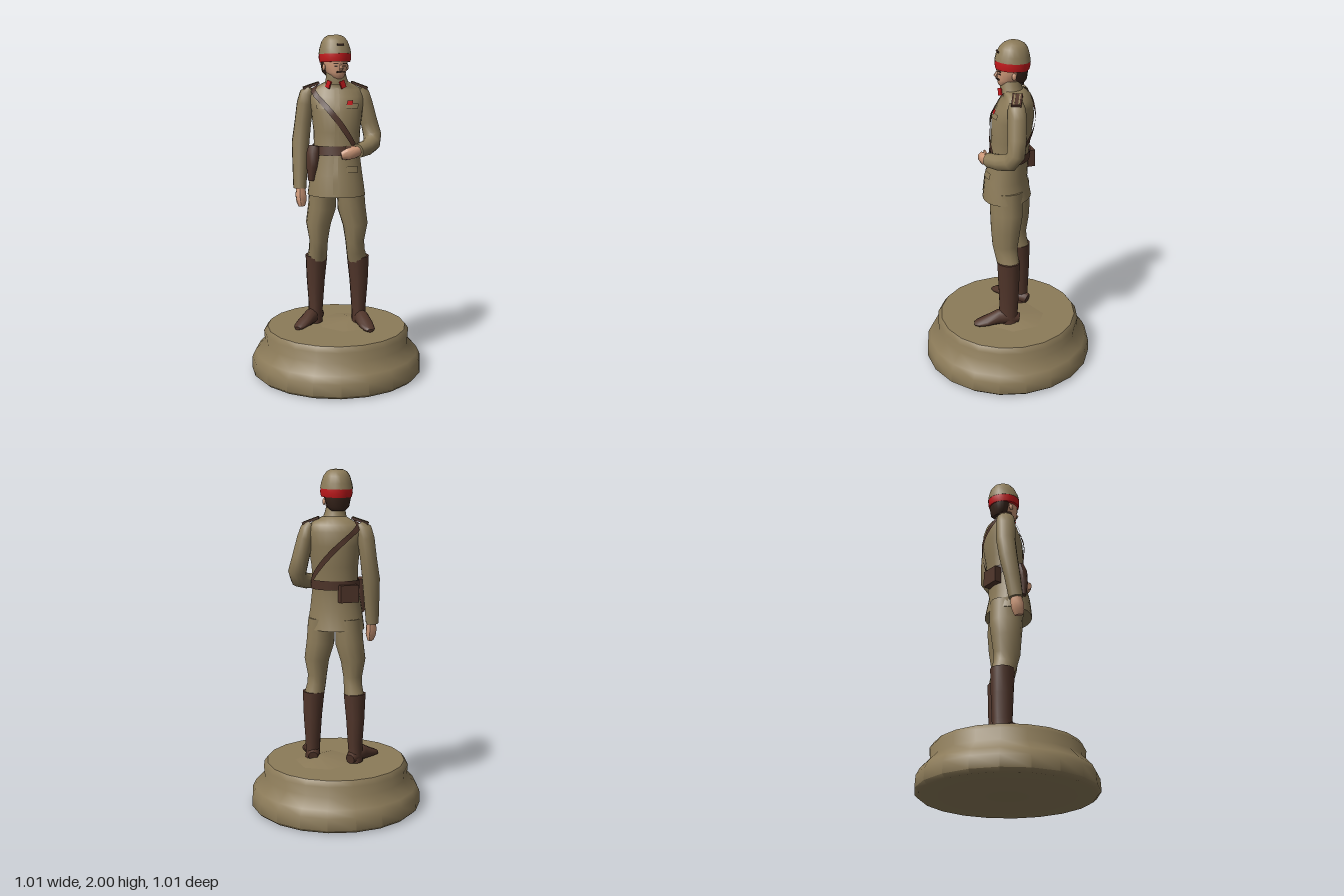
import * as THREE from 'three';
import { toCreasedNormals } from 'three/addons/utils/BufferGeometryUtils.js';

const material = (name, color, side = THREE.FrontSide) => {
  const m = new THREE.MeshStandardMaterial({ color, side });
  m.name = name;
  return m;
};

// Skin over closed rings of points, capped at both ends
function loft(rings, crease = 0.9) {
  const n = rings[0].length, pos = [], idx = [];
  rings.forEach(r => r.forEach(p => pos.push(p.x, p.y, p.z)));
  for (let i = 0; i < rings.length - 1; i++) {
    for (let j = 0; j < n; j++) {
      const a = i * n + j, b = i * n + (j + 1) % n;
      idx.push(a, b, a + n, b, b + n, a + n);
    }
  }
  [0, rings.length - 1].forEach((r, end) => {
    const c = rings[r].reduce((s, p) => s.add(p), new THREE.Vector3()).divideScalar(n);
    const k = pos.length / 3;
    pos.push(c.x, c.y, c.z);
    for (let j = 0; j < n; j++) {
      const a = r * n + j, b = r * n + (j + 1) % n;
      if (end) idx.push(k, a, b); else idx.push(k, b, a);
    }
  });
  const g = new THREE.BufferGeometry();
  g.setAttribute('position', new THREE.Float32BufferAttribute(pos, 3));
  g.setIndex(idx);
  return toCreasedNormals(g, crease);
}

// Point on a horizontal oval section [y, cx, cz, rx, rz, yaw]
function ovalPoint([y, cx, cz, rx, rz, yaw = 0], a, off = 0) {
  const x = Math.sin(a) * (rx + off), z = Math.cos(a) * (rz + off);
  const c = Math.cos(yaw), s = Math.sin(yaw);
  return new THREE.Vector3(cx + x * c + z * s, y, cz - x * s + z * c);
}
const ovals = (sections, n = 18) => loft(sections.map(s =>
  Array.from({ length: n }, (_, j) => ovalPoint(s, j / n * Math.PI * 2))));

// Limb along points [x, y, z, half width, half depth]
function limb(pts, n = 12) {
  const P = pts.map(p => new THREE.Vector3(p[0], p[1], p[2]));
  const u = new THREE.Vector3(1, 0, 0);
  return loft(pts.map((p, i) => {
    const t = P[Math.min(i + 1, P.length - 1)].clone().sub(P[Math.max(i - 1, 0)]).normalize();
    u.addScaledVector(t, -u.dot(t)).normalize();
    const v = t.clone().cross(u);
    return Array.from({ length: n }, (_, j) => {
      const a = j / n * Math.PI * 2;
      return P[i].clone().addScaledVector(u, Math.cos(a) * p[3]).addScaledVector(v, Math.sin(a) * p[4]);
    });
  }));
}

// Jacket sections, shoulders turned slightly
const TORSO = [
  [1.08, 0, 0.005, 0.17, 0.14, 0], [1.2, 0, 0.01, 0.153, 0.122, 0],
  [1.34, 0, -0.01, 0.132, 0.108, 0.05], [1.45, 0, -0.02, 0.136, 0.113, 0.1],
  [1.57, 0, -0.03, 0.15, 0.12, 0.15], [1.65, -0.005, -0.045, 0.163, 0.1, 0.2],
  [1.69, -0.005, -0.052, 0.15, 0.08, 0.2], [1.715, 0, -0.045, 0.105, 0.065, 0.15],
  [1.735, 0, -0.03, 0.068, 0.06, 0.1],
];
function torsoPoint(a, y, off) {
  let i = 0;
  while (i < TORSO.length - 2 && y > TORSO[i + 1][0]) i++;
  const f = (y - TORSO[i][0]) / (TORSO[i + 1][0] - TORSO[i][0]);
  return ovalPoint(TORSO[i].map((v, k) => v + (TORSO[i + 1][k] - v) * f), a, off);
}

// Band lying on the jacket along a path of [angle, height]
function band(path, half, off) {
  const curve = new THREE.SplineCurve(path.map(p => new THREE.Vector2(p[0] * 0.14, p[1])));
  const n = path.length * 6, pos = [], idx = [];
  for (let i = 0; i <= n; i++) {
    const p = curve.getPoint(i / n), t = curve.getTangent(i / n);
    for (const s of [-half, half]) {
      const q = torsoPoint((p.x - t.y * s) / 0.14, p.y + t.x * s, off);
      pos.push(q.x, q.y, q.z);
    }
    if (i < n) idx.push(2 * i, 2 * i + 2, 2 * i + 1, 2 * i + 1, 2 * i + 2, 2 * i + 3);
  }
  const g = new THREE.BufferGeometry();
  g.setAttribute('position', new THREE.Float32BufferAttribute(pos, 3));
  g.setIndex(idx);
  g.computeVertexNormals();
  return g;
}

export function createModel() {
  const khaki = material('khaki', 0x8c7b59, THREE.DoubleSide);
  const leather = material('brown leather', 0x50352a, THREE.DoubleSide);
  const skin = material('skin', 0xcf9a7a);
  const red = material('red', 0xc4191c, THREE.DoubleSide);
  const dark = material('dark hair', 0x3b271d);
  const root = new THREE.Group();
  const add = (name, geo, mat, parent = root) => {
    const m = new THREE.Mesh(geo, mat);
    m.name = name;
    parent.add(m);
    return m;
  };
  const box = (name, size, at, mat, parent = root, rot = [0, 0, 0]) => {
    const m = add(name, new THREE.BoxGeometry(...size), mat, parent);
    m.position.set(...at);
    m.rotation.set(...rot);
    return m;
  };

  // Twenty-sided stepped base with a low rise behind the boots
  add('base', ovals([[0, 0.49], [0.02, 0.512], [0.09, 0.508], [0.13, 0.488], [0.19, 0.432],
    [0.25, 0.437], [0.28, 0.415]].map(([y, r]) => [y, 0, 0, r, r, Math.PI / 20]), 20), khaki);
  add('groundRise', ovals([[0.275, 0.05, -0.05, 0.2, 0.22], [0.31, 0.09, -0.05, 0.015, 0.02]], 7), khaki);

  // Legs, mirrored
  for (const [s, side] of [[-1, 'right'], [1, 'left']]) {
    const m = pts => pts.map(([x, ...r]) => [x * s, ...r]);
    add(side + 'Breeches', limb(m([[0.08, 1.14, -0.01, 0.08, 0.1], [0.088, 1, -0.015, 0.083, 0.098],
      [0.11, 0.9, -0.015, 0.074, 0.088], [0.108, 0.8, -0.012, 0.056, 0.077],
      [0.112, 0.74, -0.022, 0.055, 0.07], [0.122, 0.68, -0.038, 0.06, 0.066]])), khaki);
    add(side + 'BootShaft', limb(m([[0.125, 0.7, -0.038, 0.066, 0.07], [0.13, 0.55, -0.04, 0.055, 0.064],
      [0.13, 0.4, -0.04, 0.044, 0.058], [0.132, 0.34, -0.036, 0.042, 0.058],
      [0.132, 0.285, -0.036, 0.044, 0.06]])), leather);
    add(side + 'BootFoot', limb(m([[0.113, 0.312, -0.1, 0.028, 0.03], [0.125, 0.322, -0.06, 0.042, 0.042],
      [0.155, 0.328, 0.015, 0.042, 0.048], [0.188, 0.308, 0.085, 0.045, 0.028],
      [0.208, 0.298, 0.13, 0.036, 0.018], [0.216, 0.294, 0.152, 0.018, 0.01]])), leather);
  }

  // Jacket and its details
  add('jacket', ovals(TORSO, 24), khaki);
  add('collar', ovals([[1.72, 0, -0.025, 0.072, 0.064], [1.755, -0.002, -0.018, 0.061, 0.06],
    [1.785, -0.005, -0.018, 0.056, 0.056]]), khaki);
  add('frontPlacket', band([[0.06, 1.1], [0.04, 1.3], [0, 1.5], [-0.05, 1.7]], 0.012, 0.004), khaki);
  add('leftChestPocket', band([[0.28, 1.6], [0.82, 1.6]], 0.014, 0.008), khaki);
  add('rightChestPocket', band([[-0.85, 1.6], [-0.35, 1.6]], 0.014, 0.007), khaki);
  add('leftHipPocket', band([[0.45, 1.24], [1, 1.24]], 0.018, 0.008), khaki);
  add('medal', band([[0.31, 1.62], [0.52, 1.62]], 0.013, 0.013), red);
  add('belt', band([0, 1, 2, 3, 4, 5, 6].map(i => [-Math.PI + i * Math.PI / 3, 1.345]), 0.027, 0.008), leather);
  add('crossStrap', band([[0.95, 1.35], [0.5, 1.43], [0.07, 1.51], [-0.35, 1.585], [-0.75, 1.65],
    [-1.2, 1.695], [-1.9, 1.695], [-2.45, 1.645], [-3, 1.56], [-3.6, 1.46], [-4.3, 1.35]], 0.015, 0.011), leather);
  add('holster', limb([[-0.122, 1.37, 0.065, 0.034, 0.026], [-0.128, 1.33, 0.075, 0.038, 0.032],
    [-0.133, 1.25, 0.08, 0.034, 0.03], [-0.137, 1.17, 0.08, 0.02, 0.02]], 8), leather);
  box('beltPouch', [0.11, 0.1, 0.045], [-0.1, 1.3, -0.098], leather, root, [0, 0.6, 0]);
  for (const [x, z, s, a] of [[-0.15, -0.025, -1, 0.32], [0.125, -0.085, 1, 0.36]]) {
    const board = new THREE.Group();
    board.name = s < 0 ? 'rightShoulderBoard' : 'leftShoulderBoard';
    board.position.set(x, 1.712, z);
    board.rotation.set(0, 0.15, -s * a);
    root.add(board);
    box('boardBase', [0.1, 0.014, 0.056], [0, 0, 0], leather, board);
    for (const k of [-1, 1]) box('boardStripe', [0.092, 0.006, 0.008], [0, 0.006, k * 0.014], khaki, board);
  }
  for (const [x, r] of [[-0.042, -0.75], [0.04, 0.75]]) {
    box('collarTab', [0.034, 0.042, 0.009], [x, 1.722, 0.033], red, root, [-0.2, r, r * 0.6]);
  }

  // Arms: right hangs down, left bends to the belt
  add('rightSleeve', limb([[-0.15, 1.695, -0.025, 0.03, 0.04], [-0.172, 1.665, -0.025, 0.046, 0.055],
    [-0.185, 1.61, -0.025, 0.05, 0.06], [-0.2, 1.5, -0.025, 0.049, 0.058], [-0.213, 1.38, -0.012, 0.052, 0.055],
    [-0.213, 1.25, 0.012, 0.045, 0.048], [-0.213, 1.115, 0.032, 0.038, 0.043]]), khaki);
  add('rightHand', limb([[-0.207, 1.13, 0.032, 0.025, 0.03], [-0.206, 1.08, 0.04, 0.032, 0.038],
    [-0.202, 1.04, 0.045, 0.03, 0.036], [-0.198, 1.01, 0.05, 0.018, 0.026]], 8), skin);
  add('leftSleeve', limb([[0.125, 1.695, -0.08, 0.03, 0.04], [0.14, 1.665, -0.087, 0.044, 0.052],
    [0.155, 1.61, -0.093, 0.048, 0.056], [0.182, 1.5, -0.1, 0.05, 0.055], [0.203, 1.42, -0.1, 0.054, 0.052],
    [0.202, 1.375, -0.067, 0.05, 0.052], [0.175, 1.355, 0, 0.046, 0.046], [0.13, 1.345, 0.08, 0.04, 0.042]]), khaki);
  add('leftHand', limb([[0.138, 1.345, 0.068, 0.028, 0.03], [0.105, 1.338, 0.105, 0.034, 0.036],
    [0.075, 1.332, 0.128, 0.028, 0.036], [0.042, 1.325, 0.137, 0.014, 0.022]], 8), skin);
  add('leftThumb', limb([[0.115, 1.365, 0.098, 0.012, 0.012], [0.07, 1.372, 0.118, 0.008, 0.008]], 6), skin);

  // Head, turned to its left
  add('neck', ovals([[1.74, -0.005, -0.018, 0.048, 0.05], [1.81, -0.01, -0.02, 0.046, 0.05]]), skin);
  const head = new THREE.Group();
  head.name = 'head';
  head.position.set(-0.01, 1.83, -0.022);
  head.rotation.y = 0.5;
  root.add(head);
  add('face', ovals([[-0.076, 0, 0.05, 0.02, 0.02], [-0.066, 0, 0.035, 0.036, 0.045],
    [-0.04, 0, 0.012, 0.056, 0.071], [0, 0, 0.006, 0.068, 0.08], [0.04, 0, 0, 0.072, 0.085]]), skin);
  add('hair', ovals([[-0.062, 0, -0.04, 0.04, 0.03], [-0.04, 0, -0.038, 0.064, 0.045],
    [0.03, 0, -0.03, 0.08, 0.062]]), dark);
  add('nose', limb([[0, 0.005, 0.082, 0.007, 0.006], [0, -0.018, 0.095, 0.011, 0.011],
    [0, -0.026, 0.086, 0.009, 0.008]], 6), skin);
  box('moustache', [0.044, 0.01, 0.012], [0, -0.036, 0.081], dark, head);
  for (const s of [-1, 1]) {
    box('eye', [0.018, 0.007, 0.006], [s * 0.027, -0.004, 0.077], dark, head, [0, s * 0.4, 0]);
    box('brow', [0.026, 0.006, 0.008], [s * 0.027, 0.011, 0.078], dark, head, [0, s * 0.4, 0]);
    const ear = add('ear', new THREE.SphereGeometry(0.02, 8, 6), skin, head);
    ear.position.set(s * 0.072, -0.012, 0.005);
    ear.scale.set(0.45, 1, 0.7);
  }
  head.children.filter(c => c.name === 'neck' || c.name === 'face').forEach(c => { c.castShadow = false; });

  // Cap with red band
  const cap = new THREE.Group();
  cap.name = 'cap';
  cap.rotation.x = -0.06;
  head.add(cap);
  add('capBand', ovals([[0.017, 0, 0, 0.088, 0.095], [0.04, 0, 0, 0.093, 0.1], [0.066, 0, 0, 0.092, 0.099]]), red);
  cap.add(root.children[root.children.length - 1]);
  add('capCrown', ovals([[0.063, 0, 0, 0.094, 0.101], [0.095, 0, 0, 0.088, 0.095], [0.135, 0, -0.002, 0.075, 0.08],
    [0.158, 0, -0.004, 0.058, 0.06], [0.17, 0, -0.004, 0.035, 0.035]]), khaki, cap);
  box('capBadge', [0.04, 0.009, 0.008], [0, 0.112, 0.088], dark, cap, [-0.35, 0, 0]);

  // Faces are placed in the turned head group
  for (const name of ['face', 'hair', 'nose']) {
    const part = root.children.find(c => c.name === name);
    if (part) head.add(part);
  }
  return root;
}
